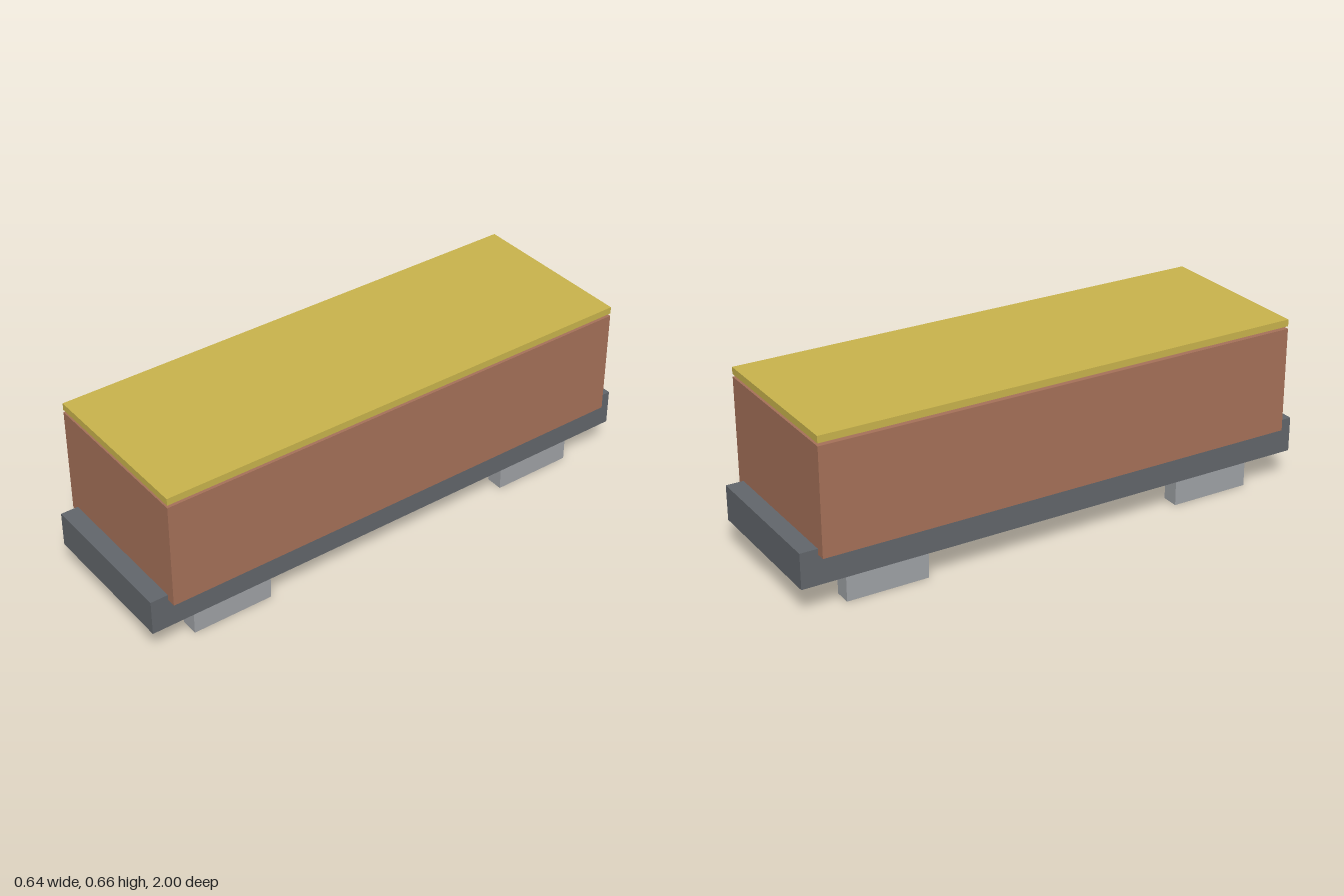
import * as THREE from 'three';

const material = (name, color) => {
  const m = new THREE.MeshStandardMaterial({ color });
  m.name = name;
  return m;
};

export function createModel() {
  const model = new THREE.Group();
  model.name = 'railCar';
  const roofYellow = material('roofYellow', 0xc9b44c);
  const bodyBrown = material('bodyBrown', 0xa67159);
  const frameGrey = material('frameGrey', 0x62666b);
  const bogieGrey = material('bogieGrey', 0x9fa2a6);

  // Box of a given width and length, spanning y0 to y1
  const addBox = (name, mat, width, y0, y1, length, x = 0, z = 0) => {
    const mesh = new THREE.Mesh(new THREE.BoxGeometry(width, y1 - y0, length), mat);
    mesh.name = name;
    mesh.position.set(x, (y0 + y1) / 2, z);
    model.add(mesh);
  };

  // Underframe, body and the roof panel floating just above it
  addBox('underframe', frameGrey, 0.576, 0.112, 0.245, 2);
  addBox('body', bodyBrown, 0.644, 0.223, 0.623, 1.868);
  addBox('roof', roofYellow, 0.644, 0.633, 0.659, 1.868);

  // Four bogie blocks under the corners
  for (const [side, sx] of [['Left', 1], ['Right', -1]]) {
    for (const [end, sz] of [['front', 1], ['rear', -1]]) {
      addBox(`${end}${side}Bogie`, bogieGrey, 0.066, 0, 0.112, 0.311, sx * 0.223, sz * 0.667);
    }
  }
  return model;
}
